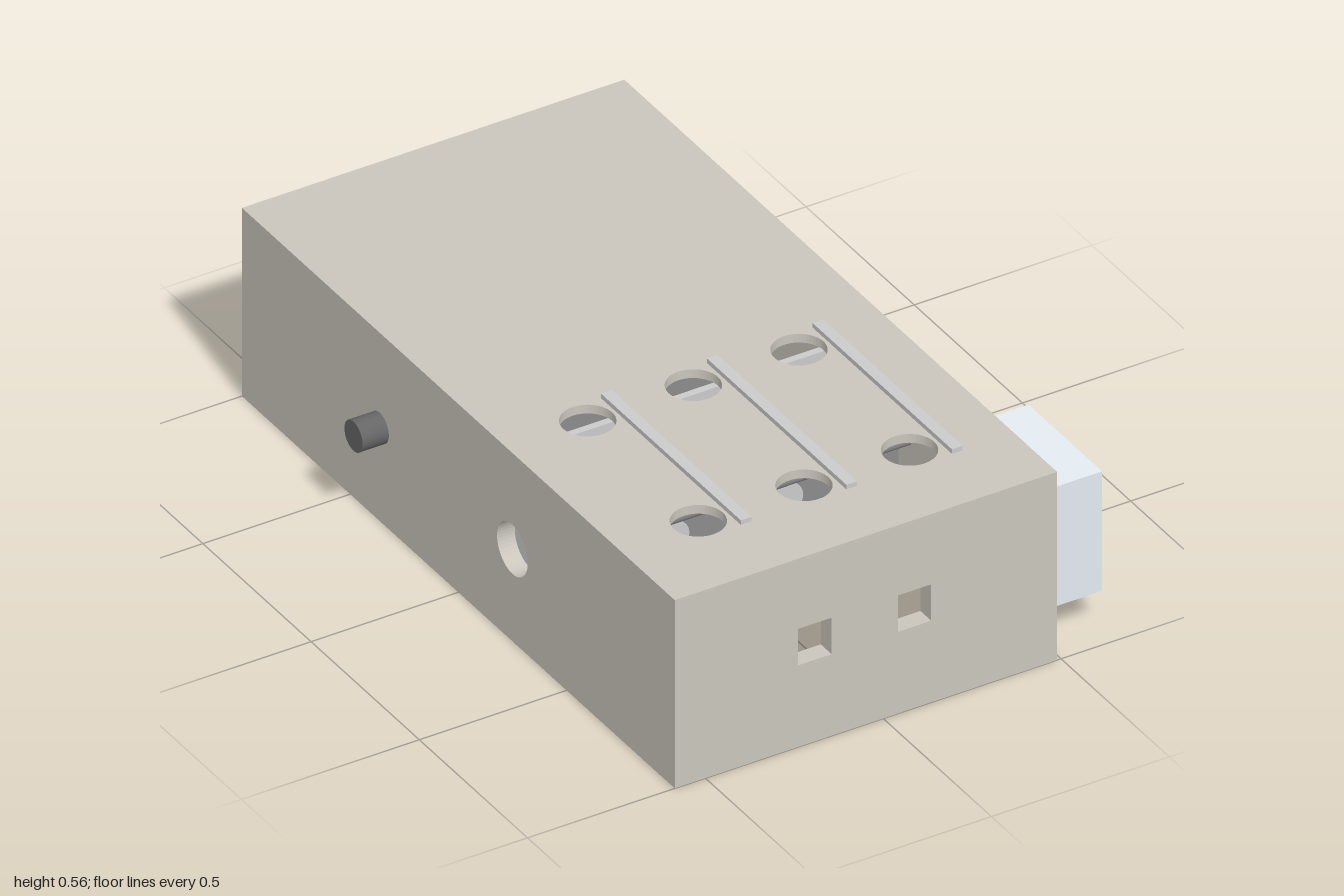
import * as THREE from 'three';

const mat = (color) => new THREE.MeshStandardMaterial({ color, side: THREE.DoubleSide });
const CASE = mat(0xcac6bd), PALE = mat(0xe4ecf2), LIGHT = mat(0xcccccc);
const GREY = mat(0x8c8c8c), DARK = mat(0x666666), ORANGE = mat(0xf09a30);

// Case limits, wall thickness and top thickness
const X0 = -0.586, X1 = 0.489, H = 0.542, T = 0.05, TOP = 0.025, CX = (X0 + X1) / 2;

export function createModel() {
  const model = new THREE.Group();

  const add = (name, geo, material, parent = model) => {
    const mesh = new THREE.Mesh(geo, material);
    mesh.name = name;
    parent.add(mesh);
    return mesh;
  };
  // Box given by its limits
  const box = (name, x0, x1, y0, y1, z0, z1, material, parent) => {
    const mesh = add(name, new THREE.BoxGeometry(x1 - x0, y1 - y0, z1 - z0), material, parent);
    mesh.position.set((x0 + x1) / 2, (y0 + y1) / 2, (z0 + z1) / 2);
  };
  // Round rod along x
  const rodX = (name, x0, x1, y, z, r, material, parent) => {
    const mesh = add(name, new THREE.CylinderGeometry(r, r, x1 - x0, 32), material, parent);
    mesh.rotation.z = Math.PI / 2;
    mesh.position.set((x0 + x1) / 2, y, z);
  };
  // Flat rectangle with cut-outs, extruded by the wall thickness
  const rect = (x0, x1, y0, y1, C = THREE.Shape) =>
    new C([[x0, y0], [x1, y0], [x1, y1], [x0, y1]].map(([x, y]) => new THREE.Vector2(x, y)));
  const circle = (x, y, r) => new THREE.Path().absarc(x, y, r, 0, Math.PI * 2, true);
  const panel = (shape, holes, depth = T) => {
    shape.holes.push(...holes);
    return new THREE.ExtrudeGeometry(shape, { depth, bevelEnabled: false, curveSegments: 24 });
  };

  // Case, open underneath
  const shell = new THREE.Group();
  shell.name = 'case';
  model.add(shell);
  for (const x of [X0, X1 - T]) {
    const side = add('sideWall', panel(rect(-1, 1, 0, H), [circle(-0.25, 0.265, 0.071)]), CASE, shell);
    side.rotation.y = Math.PI / 2;
    side.position.x = x;
  }
  const windows = [-0.192, 0.088].map((x) => rect(x - 0.047, x + 0.047, 0.235, 0.34, THREE.Path));
  add('frontWall', panel(rect(X0 + T, X1 - T, 0, H), windows), CASE, shell).position.z = 1 - T;
  box('backWall', X0 + T, X1 - T, 0, H, -1, -1 + T, CASE, shell);
  const ports = [];
  for (const x of [-0.358, -0.061, 0.236]) for (const z of [0.223, 0.734]) ports.push(circle(x, z, 0.069));
  const lid = add('topPanel', panel(rect(X0 + T, X1 - T, -1 + T, 1 - T), ports, TOP), CASE, shell);
  lid.rotation.x = Math.PI / 2;
  lid.position.y = H;

  // Narrow strips beside each pair of top openings
  for (const x of [-0.265, 0.032, 0.329]) {
    box('topStrip', x - 0.015, x + 0.015, H - 0.01, 0.555, 0.157, 0.802, LIGHT);
  }

  // Pale hood on the left side, open outward
  const hood = new THREE.Group();
  hood.name = 'sideHood';
  model.add(hood);
  const [hx, hy0, hy1, hz0, hz1, t] = [0.658, 0.102, 0.446, 0.59, 0.93, 0.002];
  box('hoodBack', X1, X1 + t, hy0, hy1, hz0, hz1, PALE, hood);
  for (const y of [hy0, hy1 - t]) box('hoodPlate', X1 + t, hx, y, y + t, hz0, hz1, PALE, hood);
  for (const z of [hz0, hz1 - t]) box('hoodCheek', X1 + t, hx, hy0 + t, hy1 - t, z, z + t, PALE, hood);

  // Stub pipe on the right side
  rodX('stubPipe', -0.66, X0 + T, 0.27, -0.363, 0.042, DARK);

  // Column of four square-cornered elbow pipes on the left side
  for (let i = 0; i < 4; i++) {
    const elbow = new THREE.Group();
    elbow.name = 'elbowPipe';
    elbow.position.set(0.541, 0.187 + i * 0.059, -0.333);
    rodX('elbowInlet', -0.09, 0.027, 0, 0, 0.027, DARK, elbow);
    const outlet = add('elbowOutlet', new THREE.CylinderGeometry(0.027, 0.027, 0.045, 24), DARK, elbow);
    outlet.rotation.x = Math.PI / 2;
    outlet.position.z = 0.0225;
    model.add(elbow);
  }

  // Cross partitions with rails along the foot
  const a = X0 + T, b = X1 - T;
  for (const z of [-0.29, 0.33]) {
    box('partition', a, b, 0.03, 0.29, z, z + 0.02, GREY);
    box('partitionFoot', a, b, 0.01, 0.03, z - 0.01, z + 0.03, DARK);
    box('partitionRail', a, b, 0.05, 0.075, z + 0.1, z + 0.13, DARK);
    rodX('partitionRod', a, b, 0.315, z + 0.06, 0.02, GREY);
  }
  // Round bosses on the front partition
  for (const s of [-1, 1]) {
    const boss = add('partitionBoss', new THREE.CylinderGeometry(0.047, 0.047, 0.02, 32), LIGHT);
    boss.rotation.x = Math.PI / 2;
    boss.position.set(CX + s * 0.16, 0.235, 0.36);
  }

  // Inner plate and covered housing between the partitions
  box('innerPlate', a + 0.12, b, 0.15, 0.45, 0.12, 0.14, LIGHT);
  box('innerHousing', a, a + 0.1, 0.14, 0.42, 0.17, 0.325, LIGHT);
  box('housingCover', a, a + 0.1, 0.14, 0.42, 0.155, 0.17, PALE);

  // Orange tray with a lip, near the right wall at the back
  box('orangeTray', a + 0.05, 0.08, 0.19, 0.34, -0.85, -0.47, ORANGE);
  box('orangeLip', a + 0.05, 0.08, 0.15, 0.19, -0.49, -0.45, ORANGE);

  return model;
}
